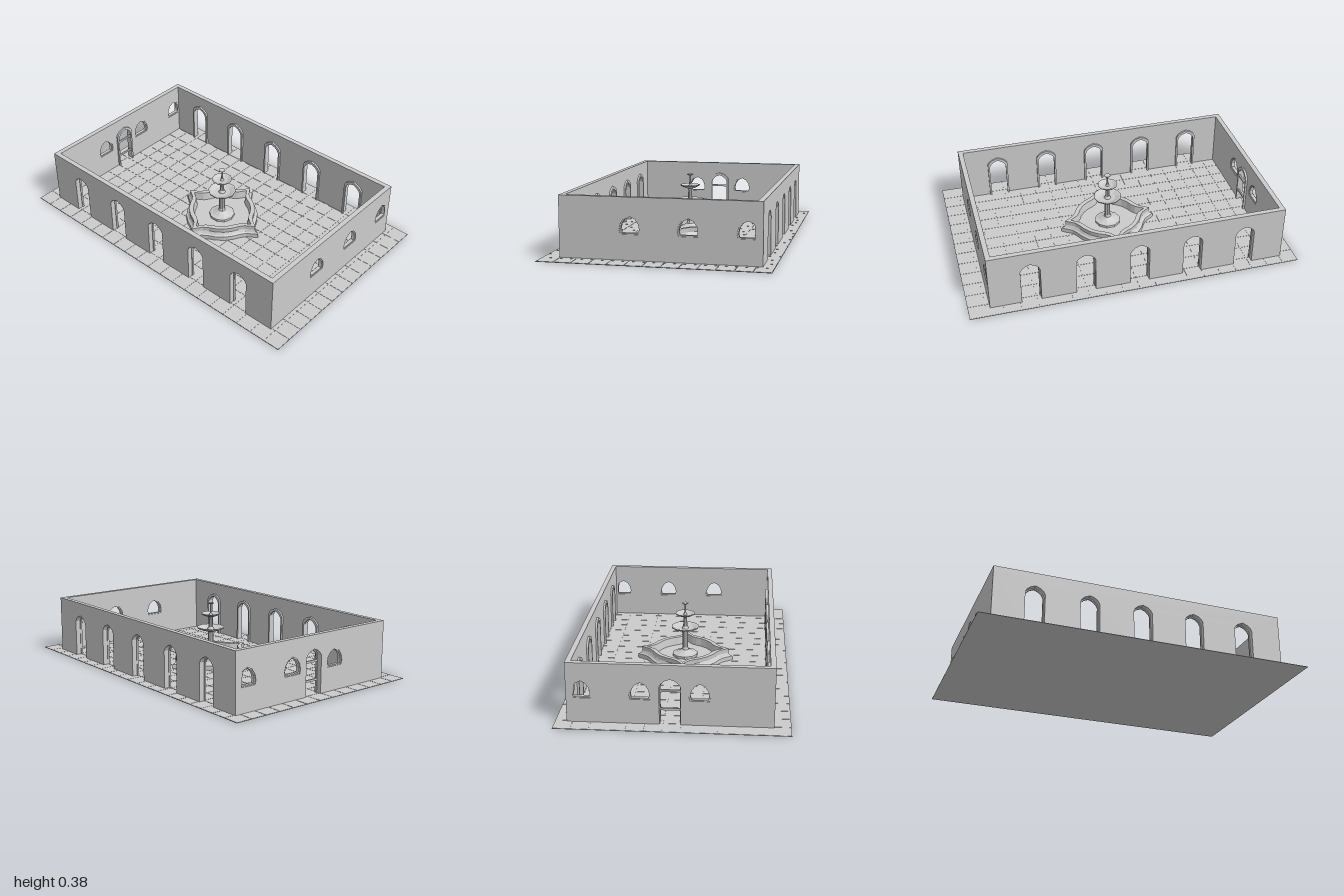
import * as THREE from 'three';
import { mergeGeometries } from 'three/addons/utils/BufferGeometryUtils.js';

const mat = new THREE.MeshStandardMaterial({ color: 0xcccccc, flatShading: true, side: THREE.DoubleSide });

const H = 0.352, T = 0.03;                            // wall height and thickness
const X0 = -0.553, X1 = 0.58, Z0 = -0.91, Z1 = 0.875; // outer faces of the walls
const CX = (X0 + X1) / 2, CZ = (Z0 + Z1) / 2, STEP = 0.324;

function mesh(parent, name, geometry, x = 0, y = 0, z = 0) {
  const m = new THREE.Mesh(geometry, mat);
  m.name = name;
  m.position.set(x, y, z);
  parent.add(m);
  return m;
}

const v2 = (points) => points.map(([x, y]) => new THREE.Vector2(x, y));
const extrude = (shape, depth) => new THREE.ExtrudeGeometry(shape, { depth, bevelEnabled: false });

// Pointed doorway, from bottom left over the peak to bottom right
function arch(w, h, cx = 0) {
  const side = [[-w, 0], [-w, h - 0.045], [-0.83 * w, h - 0.027], [-0.5 * w, h - 0.011]];
  const right = side.map(([x, y]) => [-x, y]).reverse();
  return [...side, [0, h], ...right].map(([x, y]) => [x + cx, y]);
}

// Pointed window that narrows slightly at the sill
function windowOutline(s, cx = 0) {
  const half = [[0.054, -0.05], [0.06, -0.026], [0.053, 0.008], [0.033, 0.038]];
  const left = half.map(([x, y]) => [-x, y]).reverse();
  return [...half, [0, 0.055], ...left].map(([x, y]) => [cx + x * s, 0.197 + y * s]);
}

// Wall panel with doorways cut from the ground and windows cut as holes
function wallGeometry(a, b, doors, windows) {
  const outline = [[a, 0]];
  doors.forEach((d) => outline.push(...arch(0.0575, 0.27, d)));
  outline.push([b, 0], [b, H], [a, H]);
  const shape = new THREE.Shape(v2(outline));
  windows.forEach((w) => shape.holes.push(new THREE.Path(v2(windowOutline(1, w)))));
  return extrude(shape, T);
}

function doorFrameGeometry() {
  return extrude(new THREE.Shape(v2([...arch(0.064, 0.281), ...arch(0.053, 0.264).reverse()])), 0.012);
}

function windowFrameGeometry() {
  const shape = new THREE.Shape(v2(windowOutline(1)));
  shape.holes.push(new THREE.Path(v2(windowOutline(0.86))));
  return extrude(shape, T - 0.01);
}

// Paving of square tiles on a thin slab
function addFloor(group) {
  mesh(group, 'floorSlab', new THREE.BoxGeometry(1.29, 0.002, 2), 0, 0.001, 0);
  const nx = 13, nz = 20, sx = 1.29 / nx, sz = 2 / nz, tiles = [];
  for (let i = 0; i < nx; i++) {
    for (let j = 0; j < nz; j++) {
      const tile = new THREE.BoxGeometry(sx - 0.003, 0.0015, sz - 0.003);
      tiles.push(tile.translate((i + 0.5) * sx - 0.645, 0.00275, (j + 0.5) * sz - 1));
    }
  }
  mesh(group, 'floorTiles', mergeGeometries(tiles));
}

// Four-cusped basin: one star outline scaled along a profile of [scale, height]
function basinGeometry() {
  const quarter = [[0.3, 0], [0.24, 0.04], [0.215, 0.075], [0.195, 0.115], [0.16, 0.16],
    [0.115, 0.195], [0.075, 0.215], [0.04, 0.24]];
  const star = [];
  for (let q = 0; q < 4; q++) {
    const c = Math.round(Math.cos(q * Math.PI / 2)), s = Math.round(Math.sin(q * Math.PI / 2));
    quarter.forEach(([x, z]) => star.push([x * c - z * s, x * s + z * c]));
  }
  const profile = [[1, 0], [1, 0.03], [0.95, 0.036], [0.91, 0.052], [0.92, 0.08],
    [0.8, 0.08], [0.77, 0.03], [0, 0.03]];
  const pos = [], index = [], n = star.length;
  profile.forEach(([s, y]) => star.forEach(([x, z]) => pos.push(x * s, y, z * s)));
  for (let r = 0; r < profile.length - 1; r++) {
    for (let i = 0; i < n; i++) {
      const a = r * n + i, b = r * n + (i + 1) % n;
      index.push(a, a + n, b, b, a + n, b + n);
    }
  }
  const g = new THREE.BufferGeometry();
  g.setAttribute('position', new THREE.Float32BufferAttribute(pos, 3));
  g.setIndex(index);
  g.computeVertexNormals();
  return g;
}

function addFountain(group) {
  const fountain = new THREE.Group();
  fountain.name = 'fountain';
  fountain.position.set(-0.003, 0, 0.024);
  group.add(fountain);
  const lathe = (name, points) => mesh(fountain, name, new THREE.LatheGeometry(v2(points), 10));
  mesh(fountain, 'basin', basinGeometry());
  lathe('pedestal', [[0.08, 0.03], [0.08, 0.045], [0.06, 0.05], [0.035, 0.062], [0.022, 0.07],
    [0.018, 0.085], [0.018, 0.19], [0.024, 0.2]]);
  lathe('lowerBowl', [[0.018, 0.195], [0.05, 0.204], [0.085, 0.217], [0.087, 0.225],
    [0.079, 0.225], [0.05, 0.212], [0.012, 0.21]]);
  lathe('upperStem', [[0.022, 0.21], [0.014, 0.225], [0.011, 0.28], [0.016, 0.292]]);
  lathe('upperBowl', [[0.012, 0.288], [0.035, 0.295], [0.06, 0.307], [0.062, 0.313],
    [0.055, 0.313], [0.035, 0.303], [0.008, 0.301]]);
  lathe('topStem', [[0.012, 0.301], [0.006, 0.315], [0.004, 0.365], [0.006, 0.37]]);
  lathe('topDish', [[0, 0.368], [0.012, 0.371], [0.02, 0.376], [0.02, 0.379], [0.012, 0.376], [0, 0.375]]);
}

export function createModel() {
  const model = new THREE.Group();
  model.name = 'courtyard';
  addFloor(model);

  const doors = [-2, -1, 0, 1, 2].map((k) => CZ + k * STEP);
  const windows = [-1.5, -0.5, 0.5, 1.5].map((k) => CX + k * STEP);

  // Side walls with five doorways, framed on the inside
  const sides = [['left', X1, X1 - T], ['right', X0 + T, X0 + T + 0.012]];
  sides.forEach(([side, wallX, frameX]) => {
    mesh(model, side + 'Wall', wallGeometry(Z0, Z1, doors, []), wallX).rotation.y = -Math.PI / 2;
    doors.forEach((z) => {
      mesh(model, side + 'DoorFrame', doorFrameGeometry(), frameX, 0, z).rotation.y = -Math.PI / 2;
    });
  });

  // End walls with four windows; the back one also has a doorway
  const ends = [['front', Z1 - T, []], ['back', Z0, [CX]]];
  ends.forEach(([end, z, door]) => {
    mesh(model, end + 'Wall', wallGeometry(X0 + T, X1 - T, door, windows), 0, 0, z);
    windows.forEach((x) => mesh(model, end + 'WindowFrame', windowFrameGeometry(), x, 0, z + 0.005));
  });

  // Back gate: frame with crossbars
  mesh(model, 'backDoorFrame', doorFrameGeometry(), CX, 0, Z0 + T);
  [0.08, 0.19].forEach((y) => {
    mesh(model, 'gateBar', new THREE.BoxGeometry(0.112, 0.012, 0.01), CX, y, Z0 + T + 0.004);
  });

  addFountain(model);
  return model;
}
